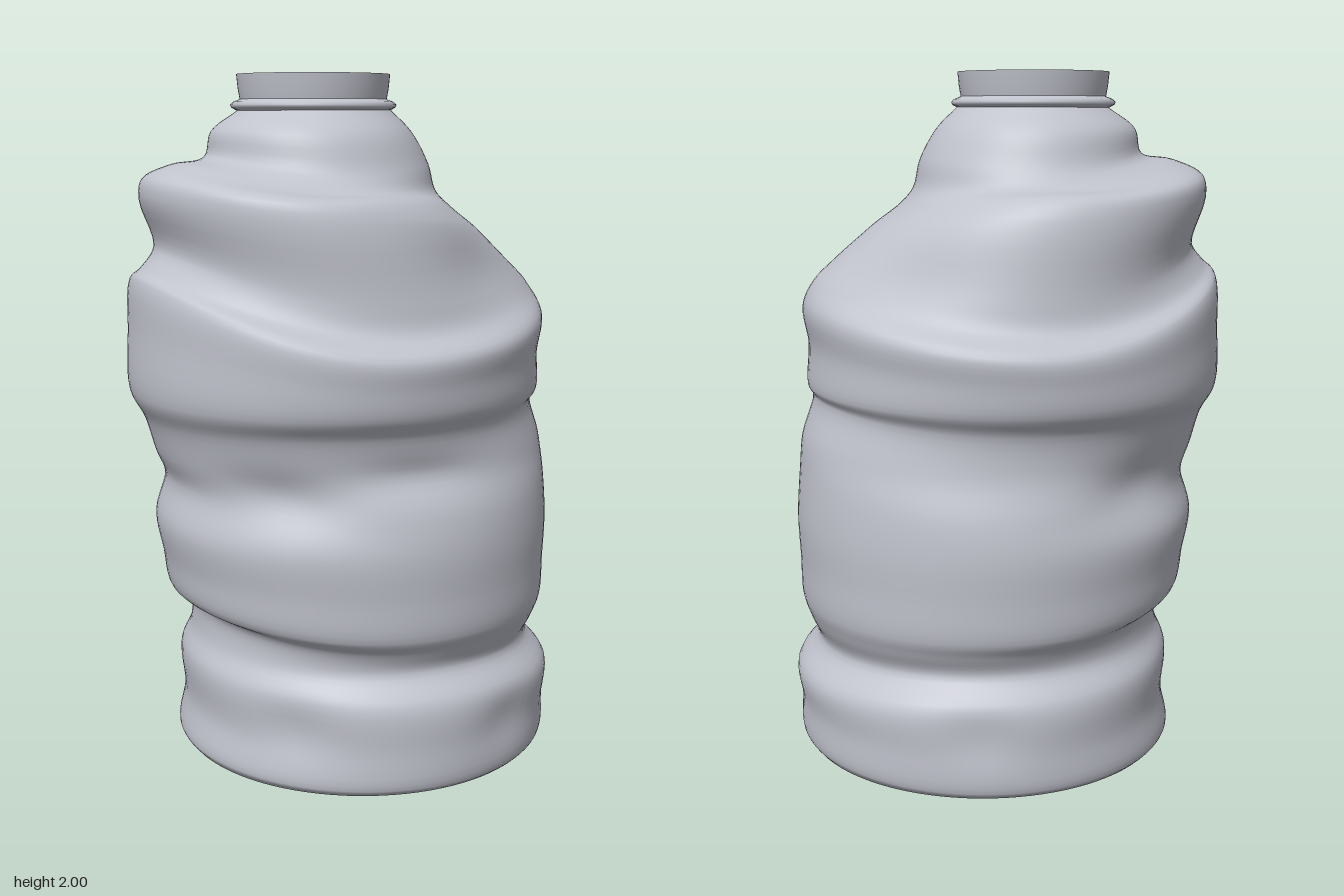
import * as THREE from 'three';

const SEG = 96;
const STEPS = 5;

// Rings from shoulder to foot: right x, y, left x, y, then front/back half depth, y
const RINGS = [
  [-0.31, 1.90, 0.13, 1.90, 0.22, 1.90],
  [-0.39, 1.84, 0.19, 1.84, 0.29, 1.83],
  [-0.41, 1.77, 0.24, 1.75, 0.33, 1.73],
  [-0.51, 1.75, 0.26, 1.67, 0.38, 1.68],
  [-0.59, 1.71, 0.30, 1.62, 0.46, 1.66],
  [-0.60, 1.65, 0.38, 1.56, 0.49, 1.60],
  [-0.56, 1.52, 0.50, 1.46, 0.51, 1.40],
  [-0.60, 1.46, 0.56, 1.40, 0.53, 1.31],
  [-0.63, 1.43, 0.59, 1.33, 0.60, 1.25],
  [-0.64, 1.28, 0.575, 1.22, 0.595, 1.17],
  [-0.64, 1.10, 0.58, 1.10, 0.58, 1.09],
  [-0.60, 1.02, 0.565, 1.07, 0.54, 1.03],
  [-0.57, 0.92, 0.60, 0.95, 0.53, 0.92],
  [-0.54, 0.84, 0.61, 0.85, 0.56, 0.80],
  [-0.57, 0.72, 0.62, 0.70, 0.575, 0.70],
  [-0.55, 0.60, 0.615, 0.58, 0.57, 0.58],
  [-0.53, 0.50, 0.61, 0.46, 0.56, 0.46],
  [-0.47, 0.46, 0.59, 0.40, 0.53, 0.41],
  [-0.47, 0.37, 0.565, 0.33, 0.51, 0.35],
  [-0.50, 0.29, 0.63, 0.24, 0.57, 0.27],
  [-0.49, 0.15, 0.62, 0.14, 0.575, 0.14],
  [-0.51, 0.04, 0.62, 0.04, 0.57, 0.03],
  [-0.49, 0.01, 0.60, 0.01, 0.55, 0.01],
];

// Soft dents in the crushed wall: angle, y, angular width, height, depth
const DENTS = [
  [2.25, 0.86, 0.3, 0.07, 0.03],
  [1.55, 0.92, 0.3, 0.05, 0.02],
  [0.9, 1.45, 0.4, 0.12, 0.03],
  [-2.2, 0.85, 0.3, 0.08, 0.03],
  [-0.8, 1.42, 0.4, 0.1, 0.02],
  [1.1, 0.18, 0.2, 0.08, 0.015],
  [2.3, 0.2, 0.2, 0.08, 0.015],
  [-1.4, 0.2, 0.2, 0.08, 0.015],
];

// Smooth closed skin through a list of rings, ordered from top to bottom
function loft(rings) {
  const pos = rings.flat(2);
  const index = [];
  for (let i = 0; i < rings.length - 1; i++) {
    for (let j = 0; j < SEG; j++) {
      const a = i * SEG + j, b = i * SEG + (j + 1) % SEG;
      index.push(a, b, a + SEG, b, b + SEG, a + SEG);
    }
  }
  const g = new THREE.BufferGeometry();
  g.setAttribute('position', new THREE.Float32BufferAttribute(pos, 3));
  g.setIndex(index);
  g.computeVertexNormals();
  return g;
}

function dentAt(angle, y) {
  let d = 0;
  for (const [a, dy, w, h, depth] of DENTS) {
    const da = Math.atan2(Math.sin(angle - a), Math.cos(angle - a)) / w;
    d += depth * Math.exp(-da * da - ((y - dy) / h) ** 2);
  }
  return d;
}

function bodyRings() {
  // One profile curve for each side, sampled at matching parameters
  const curve = (k) => new THREE.CatmullRomCurve3(
    RINGS.map((r) => new THREE.Vector3(r[k], r[k + 1], 0)));
  const sides = [curve(0), curve(2), curve(4)];
  const n = (RINGS.length - 1) * STEPS;
  const rings = [];
  for (let i = 0; i <= n; i++) {
    const [right, left, depth] = sides.map((c) => c.getPoint(i / n));
    const cx = (left.x + right.x) / 2, rx = (left.x - right.x) / 2;
    const ring = [];
    for (let j = 0; j < SEG; j++) {
      const t = j / SEG * Math.PI * 2, c = Math.cos(t), s = Math.sin(t);
      // Tilted bands: the height varies around each ring
      const y = (c > 0 ? left.y : right.y) * c * c + depth.y * s * s;
      const d = dentAt(t, y);
      ring.push([cx + (rx - d) * c, Math.max(y, 0.003), (depth.x - d) * s]);
    }
    rings.push(ring);
  }
  return rings;
}

export function createModel() {
  const group = new THREE.Group();
  const plastic = new THREE.MeshStandardMaterial({ color: 0xc0c2cc, side: THREE.DoubleSide });
  plastic.name = 'pale grey plastic';
  const add = (name, geometry) => {
    const mesh = new THREE.Mesh(geometry, plastic);
    mesh.name = name;
    group.add(mesh);
    return mesh;
  };

  // Crushed body
  const rings = bodyRings();
  add('crushedBody', loft(rings));

  // Base with a shallow raised centre
  const rim = rings[rings.length - 1];
  const cx = 0.055;
  const base = [[1, 0], [0.96, -0.008], [0.85, -0.006], [0.5, 0.005], [0.25, 0.012], [0.12, 0.03], [0.001, 0.032]]
    .map(([k, lift]) => rim.map(([x, y, z]) => [cx + (x - cx) * k, Math.max(y + lift, 0), z * k]));
  add('base', loft(base));

  // Open neck and its collar flange
  const lathe = (pts) => new THREE.LatheGeometry(pts.map((p) => new THREE.Vector2(...p)), 64);
  const neck = add('neck', lathe([[0.205, 1.895], [0.21, 1.92], [0.217, 1.96], [0.221, 2.0]]));
  const collar = add('collar', lathe([[0.215, 1.895], [0.236, 1.906], [0.24, 1.914], [0.232, 1.922], [0.212, 1.93]]));
  neck.position.x = collar.position.x = -0.093;

  return group;
}
